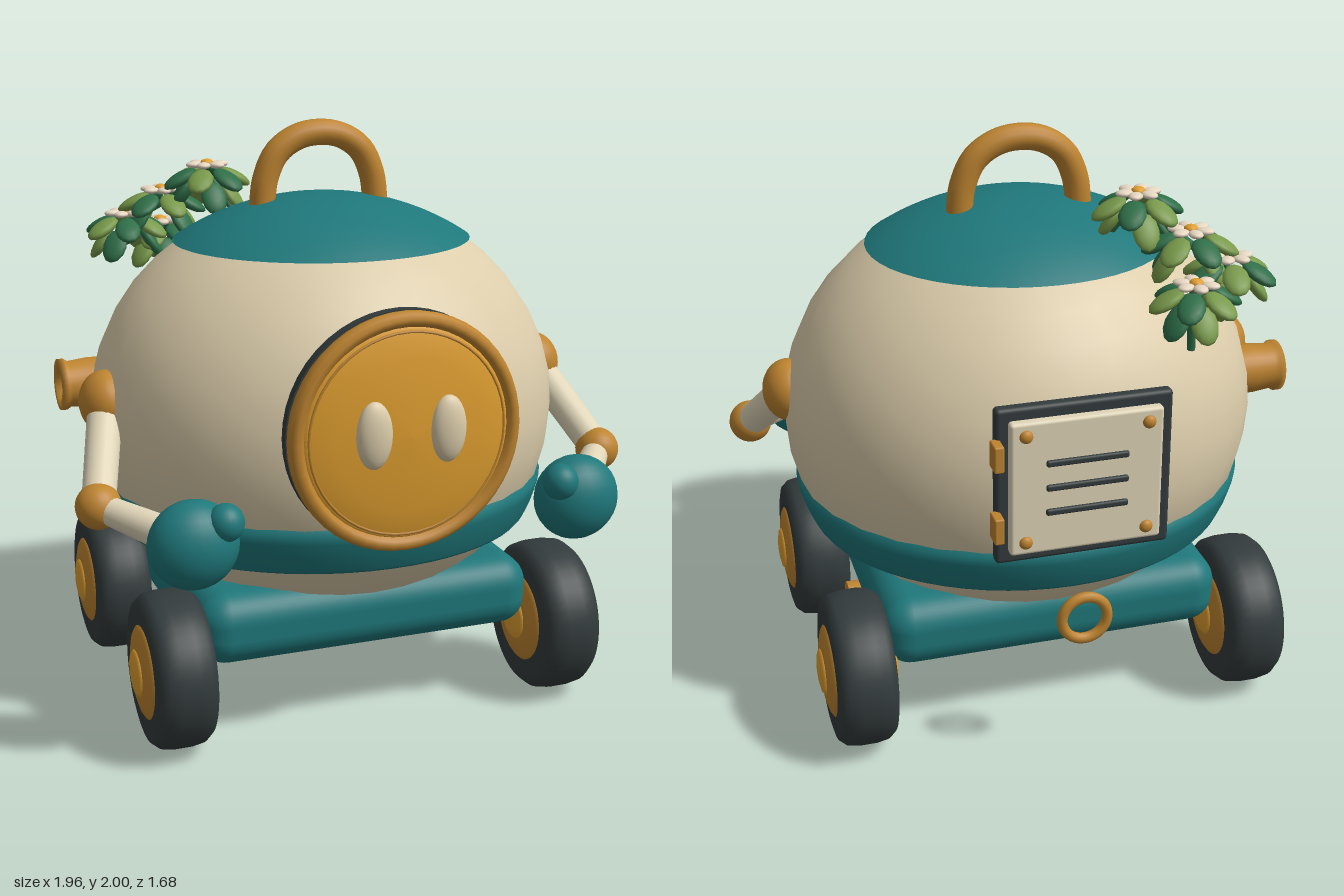
import * as THREE from 'three';
import { RoundedBoxGeometry } from 'three/addons/geometries/RoundedBoxGeometry.js';

const material = (name, color, side = THREE.FrontSide) => {
  const m = new THREE.MeshStandardMaterial({ color, side });
  m.name = name;
  return m;
};
const V = (x, y, z) => new THREE.Vector3(x, y, z);
const UP = V(0, 1, 0);

export function createModel() {
  const cream = material('cream', 0xdccdab);
  const ivory = material('ivory', 0xe0d5b8);
  const teal = material('teal', 0x1f787b, THREE.DoubleSide);
  const bronze = material('bronze', 0xbe8430);
  const gold = material('gold', 0xe09f30);
  const dark = material('charcoal', 0x333b3c);
  const darkGreen = material('darkGreen', 0x2e6e48);
  const lightGreen = material('lightGreen', 0x78994a);
  const petalMat = material('petal', 0xecdcc6);

  const model = new THREE.Group();
  model.name = 'roundRover';

  const group = (name, parent = model) => {
    const g = new THREE.Group();
    g.name = name;
    parent.add(g);
    return g;
  };
  const add = (parent, name, geo, mat, pos = [0, 0, 0], rot = [0, 0, 0], scale = [1, 1, 1]) => {
    const m = new THREE.Mesh(geo, mat);
    m.name = name;
    m.position.set(...pos);
    m.rotation.set(...rot);
    m.scale.set(...scale);
    parent.add(m);
    return m;
  };
  const ball = new THREE.SphereGeometry(1, 24, 16);
  const smallBall = new THREE.SphereGeometry(1, 12, 8);
  const ellipsoid = (parent, name, mat, pos, scale) => add(parent, name, ball, mat, pos, [0, 0, 0], scale);
  const lathe = (pts, seg = 48) => new THREE.LatheGeometry(pts.map(p => new THREE.Vector2(...p)), seg);
  // Tapered cylinder joining two points
  const rod = (parent, name, mat, a, b, ra, rb) => {
    const dir = b.clone().sub(a);
    const m = add(parent, name, new THREE.CylinderGeometry(rb, ra, dir.length(), 20), mat,
      a.clone().add(b).multiplyScalar(0.5).toArray());
    m.quaternion.setFromUnitVectors(UP, dir.normalize());
    return m;
  };

  // Body, cap and skirt band
  add(model, 'body', new THREE.SphereGeometry(1, 32, 20), cream, [0, 1.01, -0.02], [0, 0, 0], [0.825, 0.74, 0.76]);
  add(model, 'topCap', new THREE.SphereGeometry(1, 48, 10, 0, Math.PI * 2, 0, 0.654), teal,
    [0, 1.01, -0.02], [0, 0, 0], [0.858, 0.745, 0.79]);
  add(model, 'skirtBand', lathe([[0.65, 0.622], [0.74, 0.616], [0.748, 0.626], [0.772, 0.68], [0.788, 0.73], [0.794, 0.765], [0.77, 0.79]], 64),
    teal, [0, 0, -0.02], [0, 0, 0], [1, 1, 0.922]);

  // Carrying handle
  const arch = new THREE.CatmullRomCurve3([[-0.21, 1.7], [-0.195, 1.81], [-0.15, 1.9], [-0.06, 1.953], [0.06, 1.953],
    [0.15, 1.9], [0.195, 1.81], [0.21, 1.7]].map(([x, y]) => V(x, y, -0.045)));
  add(model, 'handle', new THREE.TubeGeometry(arch, 36, 0.045, 14), bronze);

  // Round face plate, with its axis along z
  const face = group('face');
  face.position.y = 1.11;
  add(face, 'faceGasket', new THREE.CylinderGeometry(0.39, 0.39, 0.035, 48), dark, [0, 0, 0.71], [Math.PI / 2, 0, 0]);
  add(face, 'faceRim', lathe([[0.3, 0.728], [0.375, 0.728], [0.39, 0.74], [0.393, 0.76], [0.385, 0.78], [0.37, 0.789],
    [0.354, 0.785], [0.342, 0.768]]), bronze, [0, 0, 0], [Math.PI / 2, 0, 0]);
  add(face, 'faceDisc', lathe([[0.346, 0.768], [0.335, 0.778], [0.25, 0.794], [0.12, 0.806], [0, 0.81]]), gold,
    [0, 0, 0], [Math.PI / 2, 0, 0]);
  add(face, 'faceGroove', new THREE.TorusGeometry(0.33, 0.005, 6, 48), bronze, [0, 0, 0.778]);

  for (const s of [-1, 1]) {
    ellipsoid(face, 'eye', cream, [s * 0.125, 0.015, 0.805], [0.06, 0.11, 0.036]);

    // Arms
    const arm = group(s > 0 ? 'leftArm' : 'rightArm');
    const shoulder = V(s * 0.8, 1.1, 0.05), elbow = V(s * 0.905, 0.845, 0.37), wrist = V(s * 0.72, 0.8, 0.61);
    ellipsoid(arm, 'shoulder', bronze, shoulder.toArray(), [0.09, 0.108, 0.108]);
    rod(arm, 'upperArm', ivory, shoulder, elbow, 0.06, 0.056);
    ellipsoid(arm, 'elbow', bronze, elbow.toArray(), [0.076, 0.076, 0.076]);
    rod(arm, 'forearm', ivory, elbow, wrist, 0.045, 0.058);
    ellipsoid(arm, 'hand', teal, [s * 0.67, 0.785, 0.655], [0.148, 0.146, 0.116]);
    ellipsoid(arm, 'thumb', teal, [s * 0.58, 0.865, 0.71], [0.06, 0.062, 0.06]);

    // Wheels
    for (const z of [0.42, -0.45]) {
      const wheel = group('wheel');
      wheel.position.set(s * 0.69, 0.266, z);
      wheel.rotation.z = Math.PI / 2;
      add(wheel, 'tire', lathe([[0.1, -0.095], [0.2, -0.1], [0.206, -0.094], [0.214, -0.1], [0.238, -0.094], [0.258, -0.07],
        [0.265, -0.03], [0.265, 0.03], [0.258, 0.07], [0.238, 0.094], [0.214, 0.1], [0.206, 0.094], [0.2, 0.1], [0.1, 0.095]]), dark);
      add(wheel, 'wheelDisc', lathe([[0, -0.122], [0.08, -0.12], [0.115, -0.115], [0.145, -0.106], [0.16, -0.096], [0.163, -0.085],
        [0.163, 0.085], [0.16, 0.096], [0.145, 0.106], [0.115, 0.115], [0.08, 0.12], [0, 0.122]], 36), bronze);
      add(wheel, 'hub', lathe([[0, -0.136], [0.04, -0.134], [0.07, -0.128], [0.085, -0.115],
        [0.085, 0.115], [0.07, 0.128], [0.04, 0.134], [0, 0.136]], 32), gold);
    }
  }

  // Chassis and cross bar
  add(model, 'chassis', new RoundedBoxGeometry(1.2, 0.25, 1.05, 5, 0.1), teal, [0, 0.385, -0.015]);
  rod(model, 'crossBar', bronze, V(-0.64, 0.27, -0.015), V(0.64, 0.27, -0.015), 0.062, 0.062);

  // Side port on the right
  const port = group('sidePort');
  port.position.set(0, 1.1, -0.215);
  port.rotation.z = Math.PI / 2;
  add(port, 'portPipe', lathe([[0.085, 0.7], [0.088, 0.8], [0.08, 0.87], [0.09, 0.885], [0.09, 0.905],
    [0.058, 0.905], [0.055, 0.86]], 32), bronze);
  add(port, 'portLens', new THREE.CylinderGeometry(0.058, 0.058, 0.02, 24), gold, [0, 0.865, 0]);

  // Back service panel
  const panel = group('backPanel');
  panel.position.y = 1.06;
  add(panel, 'panelFrame', new RoundedBoxGeometry(0.58, 0.54, 0.045, 3, 0.015), dark, [0, 0, -0.767]);
  add(panel, 'panelDoor', new RoundedBoxGeometry(0.5, 0.46, 0.04, 3, 0.012), ivory, [0, 0, -0.8]);
  for (const i of [-1, 0, 1])
    add(panel, 'vent', new RoundedBoxGeometry(0.27, 0.022, 0.016, 2, 0.007), dark, [0, i * 0.085, -0.823]);
  for (const x of [-0.2, 0.2]) for (const y of [-0.185, 0.185])
    add(panel, 'screw', ball, bronze, [x, y, -0.82], [0, 0, 0], [0.022, 0.022, 0.016]);
  for (const y of [-0.125, 0.125])
    add(panel, 'hinge', new RoundedBoxGeometry(0.032, 0.09, 0.065, 2, 0.006), bronze, [0.29, y, -0.808]);

  // Tow ring
  add(model, 'towRing', new THREE.TorusGeometry(0.077, 0.018, 10, 32), bronze, [0, 0.565, -0.82]);

  // Flower garland: each flower sits on two rings of drooping leaves
  const garland = group('garland');
  const centres = [[-0.32, 1.82, -0.33], [-0.457, 1.72, -0.457], [-0.58, 1.635, -0.5], [-0.43, 1.585, -0.59]];
  const leaf = (parent, mat, angle, dist, y, droop) => {
    const m = add(parent, 'leaf', smallBall, mat, [Math.cos(angle) * dist, y, -Math.sin(angle) * dist],
      [0, angle, -droop], [0.066, 0.022, 0.046]);
    m.rotation.order = 'YZX';
  };
  centres.forEach((c, k) => {
    const clump = group('flowerClump', garland);
    clump.position.set(...c);
    for (let i = 0; i < 6; i++) {
      const a = i * Math.PI / 3 + k * 0.5;
      add(clump, 'petal', smallBall, petalMat, [Math.cos(a) * 0.047, 0.008, -Math.sin(a) * 0.047], [0, a, 0], [0.031, 0.012, 0.024]);
    }
    add(clump, 'flowerCentre', smallBall, gold, [0, 0.012, 0], [0, 0, 0], [0.024, 0.015, 0.024]);
    for (let i = 0; i < 6; i++) {
      const a = i * Math.PI / 3 + k * 0.7;
      leaf(clump, i % 2 ? darkGreen : lightGreen, a, 0.1, -0.04, 0.5);
      if (i % 3) leaf(clump, i % 2 ? lightGreen : darkGreen, a + 0.5, 0.09, -0.1, 0.95);
    }
  });
  const vine = new THREE.CatmullRomCurve3([V(-0.24, 1.66, -0.25), ...centres.map(([x, y, z]) => V(x, y - 0.04, z)), V(-0.43, 1.36, -0.57)]);
  add(garland, 'vine', new THREE.TubeGeometry(vine, 32, 0.014, 8), darkGreen);

  return model;
}
